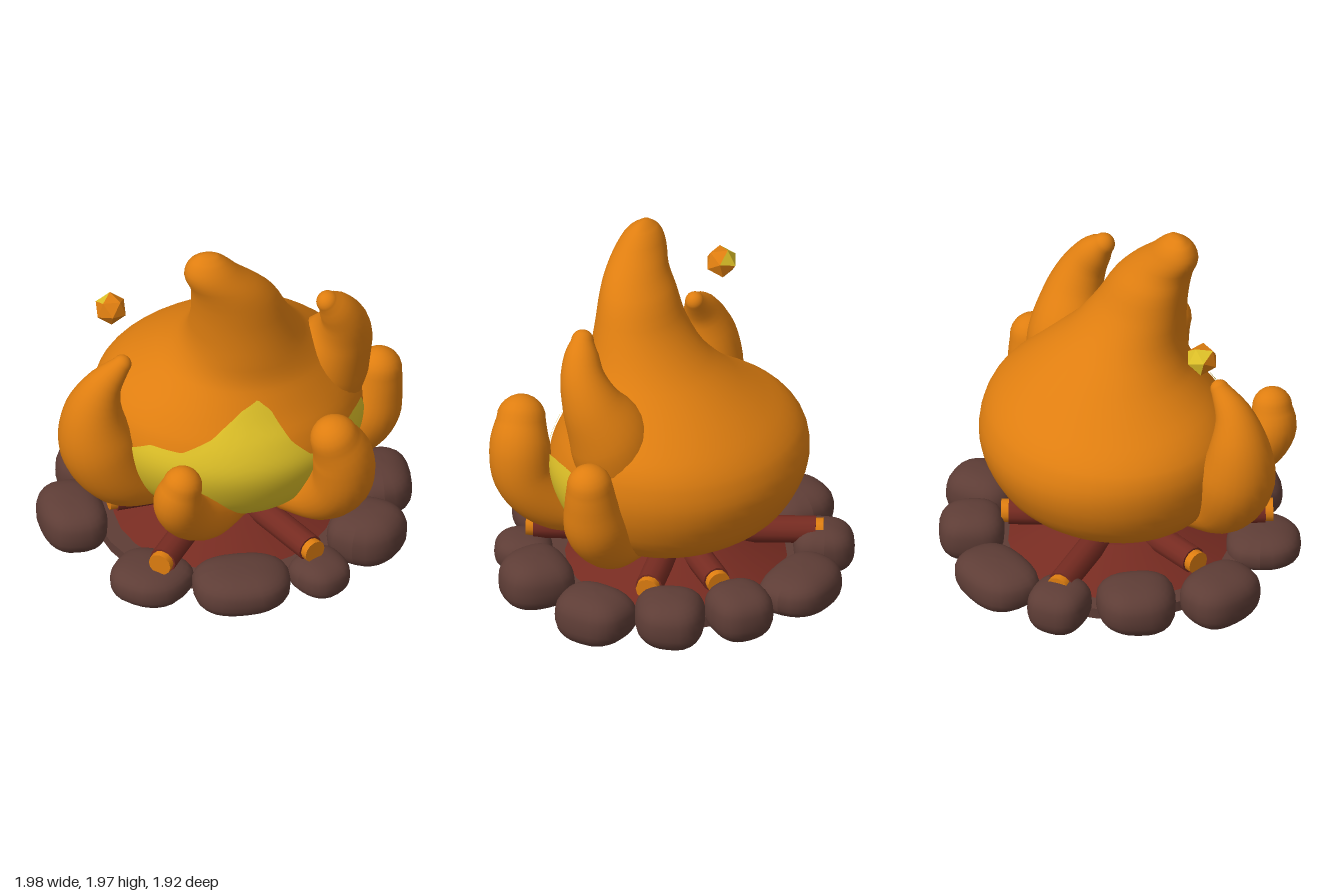
import * as THREE from 'three';

const V = (x, y, z) => new THREE.Vector3(x, y, z);
const material = (name, color) => {
  const m = new THREE.MeshStandardMaterial({ color });
  m.name = name;
  return m;
};

// Closed smooth skin over a stack of equal rings, capped by two points.
function loft(rings, start, end) {
  const n = rings[0].length, pos = [], index = [];
  rings.flat().concat(start, end).forEach((p) => pos.push(p.x, p.y, p.z));
  const s = rings.length * n, last = s - n;
  for (let j = 0; j < n; j++) {
    const k = (j + 1) % n;
    for (let i = 0; i < rings.length - 1; i++) {
      const a = i * n + j, b = i * n + k;
      index.push(a, b, a + n, b, b + n, a + n);
    }
    index.push(s, k, j, s + 1, last + j, last + k);
  }
  const g = new THREE.BufferGeometry();
  g.setAttribute('position', new THREE.Float32BufferAttribute(pos, 3));
  g.setIndex(index);
  g.computeVertexNormals();
  return g;
}

// Main flame sections: height, then min x, max x, min z, max z.
const sections = [
  [0.31, -0.26, 0.34, -0.3, 0.32], [0.36, -0.42, 0.49, -0.42, 0.42],
  [0.45, -0.54, 0.61, -0.56, 0.52], [0.57, -0.63, 0.69, -0.65, 0.59],
  [0.75, -0.68, 0.74, -0.71, 0.63], [0.9, -0.66, 0.73, -0.68, 0.58],
  [1.0, -0.58, 0.69, -0.61, 0.52], [1.1, -0.44, 0.61, -0.5, 0.47],
  [1.2, -0.32, 0.52, -0.37, 0.43], [1.33, -0.23, 0.41, -0.2, 0.42],
  [1.5, -0.2, 0.32, -0.05, 0.41], [1.65, -0.2, 0.25, 0.03, 0.41],
  [1.75, -0.21, 0.17, 0.1, 0.41], [1.85, -0.245, 0.06, 0.155, 0.4],
  [1.93, -0.22, -0.02, 0.2, 0.36], [1.97, -0.17, -0.07, 0.25, 0.31],
];
const bounds = new THREE.CubicInterpolant(
  sections.map((s) => s[0]), sections.flatMap((s) => s.slice(1)), 4, new Float32Array(4));

// Point on the main flame at an angle from the front towards +x.
function flamePoint(angle, y, lift = 0) {
  const [x0, x1, z0, z1] = bounds.evaluate(y);
  return V((x0 + x1) / 2 + ((x1 - x0) / 2 + lift) * Math.sin(angle), y,
    (z0 + z1) / 2 + ((z1 - z0) / 2 + lift) * Math.cos(angle));
}

function mainFlame() {
  const rings = [];
  sections.forEach(([y], i) => {
    const next = sections[i + 1];
    for (let k = 0; k < (next ? 3 : 1); k++) {
      const h = next ? y + (next[0] - y) * k / 3 : y;
      rings.push(Array.from({ length: 48 }, (_, j) => flamePoint(j / 48 * Math.PI * 2, h)));
    }
  });
  return loft(rings, V(0.04, 0.31, 0), V(-0.125, 1.98, 0.28));
}

// Glow outline: angle in degrees, lower edge, upper edge.
const glow = [
  [-62, 0.63, 0.66], [-54, 0.5, 0.8], [-42, 0.42, 0.87], [-27, 0.4, 0.87], [-15, 0.39, 0.95],
  [-5, 0.38, 1.08], [3, 0.38, 1.13], [11, 0.39, 1.07], [21, 0.44, 0.9], [30, 0.53, 0.8],
  [38, 0.5, 0.8], [50, 0.46, 0.85], [60, 0.48, 0.87], [70, 0.5, 0.87], [73, 0.58, 0.8],
];
function glowPatch() {
  const cols = 90, rows = 16;
  const g = new THREE.PlaneGeometry(1, 1, cols, rows), p = g.attributes.position;
  for (let i = 0; i < p.count; i++) {
    const a = -62 + (p.getX(i) + 0.5) * 135, v = p.getY(i) + 0.5;
    let k = 0;
    while (k < glow.length - 2 && a > glow[k + 1][0]) k++;
    const [A, B] = [glow[k], glow[k + 1]], f = (a - A[0]) / (B[0] - A[0]);
    const mix = (c) => A[c] + (B[c] - A[c]) * f;
    const q = flamePoint(a * Math.PI / 180, mix(1) + (mix(2) - mix(1)) * v, 0.008);
    p.setXYZ(i, q.x, q.y, q.z);
  }
  g.computeVertexNormals();
  return g;
}

// Curled flame tongue through points [x, y, z, radius] with round ends.
function tongue(points) {
  const path = new THREE.CatmullRomCurve3(points.map(([x, y, z]) => V(x, y, z)));
  const radii = new THREE.CatmullRomCurve3(points.map((p) => V(p[3], 0, 0)), false, 'catmullrom');
  const N = 24, caps = 6, frames = path.computeFrenetFrames(N), rings = [];
  const ring = (c, i, r) => rings.push(Array.from({ length: 24 }, (_, j) => {
    const a = j / 24 * Math.PI * 2;
    return c.clone().addScaledVector(frames.normals[i], r * Math.cos(a))
      .addScaledVector(frames.binormals[i], r * Math.sin(a));
  }));
  for (let i = 0; i <= N; i++) ring(path.getPointAt(i / N), i, radii.getPoint(path.getUtoTmapping(i / N)).x);
  const tip = path.getPointAt(1), r = points.at(-1)[3], dir = frames.tangents[N];
  for (let k = 1; k < caps; k++) {
    const a = k / caps * Math.PI / 2;
    ring(tip.clone().addScaledVector(dir, r * Math.sin(a)), N, r * Math.cos(a));
  }
  return loft(rings, path.getPointAt(0), tip.clone().addScaledVector(dir, r));
}

const tongues = {
  leftCurl: [[-0.36, 0.42, 0.2, 0.1], [-0.58, 0.56, 0.26, 0.17], [-0.7, 0.77, 0.27, 0.2],
    [-0.725, 0.97, 0.27, 0.165], [-0.675, 1.15, 0.27, 0.105], [-0.57, 1.275, 0.25, 0.05]],
  rightHorn: [[0.48, 0.85, 0.02, 0.23], [0.55, 1.08, 0.06, 0.22], [0.61, 1.27, 0.13, 0.16],
    [0.605, 1.41, 0.19, 0.12], [0.555, 1.52, 0.23, 0.09], [0.515, 1.575, 0.25, 0.06]],
  rightTongue: [[0.42, 0.38, 0, 0.09], [0.64, 0.49, 0, 0.14], [0.76, 0.65, 0.01, 0.165],
    [0.805, 0.81, 0.01, 0.14], [0.82, 0.92, 0.01, 0.12]],
  frontRightTongue: [[0.27, 0.38, 0.3, 0.09], [0.45, 0.49, 0.48, 0.14], [0.545, 0.66, 0.59, 0.16],
    [0.545, 0.84, 0.62, 0.16], [0.5, 0.97, 0.64, 0.13]],
  frontLeftTongue: [[0.02, 0.38, 0.35, 0.08], [-0.16, 0.45, 0.54, 0.12], [-0.29, 0.58, 0.67, 0.13],
    [-0.34, 0.72, 0.735, 0.13], [-0.32, 0.83, 0.75, 0.105]],
};

// Ring stones: centre x, z, width, depth, bottom, top.
const stones = [
  [0, -0.78, 0.5, 0.38, 0.03, 0.28], [0.41, -0.66, 0.35, 0.36, 0.03, 0.32],
  [0.67, -0.39, 0.38, 0.4, 0.03, 0.32], [0.82, -0.02, 0.44, 0.36, 0.01, 0.29],
  [0.7, 0.42, 0.4, 0.4, 0.02, 0.32], [0.42, 0.67, 0.32, 0.32, 0.02, 0.22],
  [0, 0.755, 0.52, 0.41, 0.02, 0.27], [-0.47, 0.59, 0.42, 0.4, 0.01, 0.22],
  [-0.82, 0.09, 0.45, 0.36, 0.02, 0.32], [-0.64, -0.33, 0.42, 0.4, 0.03, 0.32],
  [-0.41, -0.66, 0.33, 0.34, 0.03, 0.3],
];
function stone([x, z, w, d, y0, y1], seed) {
  const g = new THREE.SphereGeometry(1, 24, 16), p = g.attributes.position;
  const box = (v) => Math.sign(v) * Math.abs(v) ** 0.78;
  for (let i = 0; i < p.count; i++) {
    const [a, b, c] = [p.getX(i), p.getY(i), p.getZ(i)];
    const k = 0.97 + 0.05 * Math.sin(2.3 * a + seed * 1.7) * Math.cos(2.1 * c + b + seed);
    p.setXYZ(i, box(a) * k * w / 2 * (1 - 0.1 * c), box(b) * k * (y1 - y0) / 2, box(c) * k * d / 2);
  }
  // Face outwards; the width follows the ring.
  g.computeVertexNormals();
  g.rotateY(Math.atan2(x, z));
  g.translate(x, (y0 + y1) / 2, z);
  return g;
}

export function createModel() {
  const model = new THREE.Group();
  const orange = material('flame orange', 0xdf7e10), yellow = material('glow yellow', 0xe0c228);
  const brown = material('stone brown', 0x5e3d36), red = material('log red', 0x762b21);
  const add = (name, geometry, mat) => {
    const mesh = new THREE.Mesh(geometry, mat);
    mesh.name = name;
    model.add(mesh);
    return mesh;
  };

  // Flames
  add('mainFlame', mainFlame(), orange);
  add('glow', glowPatch(), yellow);
  for (const [name, points] of Object.entries(tongues)) add(name, tongue(points), orange);

  // Stones and ground
  stones.forEach((s, i) => add('stone', stone(s, i), brown));
  add('ground', new THREE.CylinderGeometry(0.68, 0.68, 0.06, 32), brown).position.y = 0.08;

  // Logs with burning ends, over an ember bed
  add('emberBed', new THREE.CylinderGeometry(0.3, 0.6, 0.16, 24), red).position.y = 0.18;
  const ends = [[-0.43, 0.68], [0.39, 0.68], [-0.4, -0.66], [0.62, -0.22], [-0.62, 0.08], [0.36, -0.5]];
  for (const [x, z] of ends) {
    const length = Math.hypot(x, z), turn = Math.atan2(x, z);
    const bar = (name, r, from, to, mat) => {
      const g = new THREE.CylinderGeometry(r, r, to - from, 12);
      g.rotateX(Math.PI / 2).translate(0, 0.262, (from + to) / 2).rotateY(turn);
      add(name, g, mat);
    };
    bar('log', 0.072, 0, length - 0.04, red);
    bar('logEnd', 0.062, length - 0.04, length, orange);
  }

  // Flying spark, glowing on its upper back side
  const g = new THREE.IcosahedronGeometry(0.087).rotateX(0.55);
  const n = g.attributes.normal, side = V(-0.5, 0.6, -0.6).normalize();
  for (let i = 0; i < n.count; i += 3) {
    const lit = V(n.getX(i), n.getY(i), n.getZ(i)).dot(side) > 0.55;
    g.addGroup(i, 3, lit ? 1 : 0);
  }
  add('spark', g, [orange, yellow]).position.set(-0.61, 1.54, 0.11);
  return model;
}
